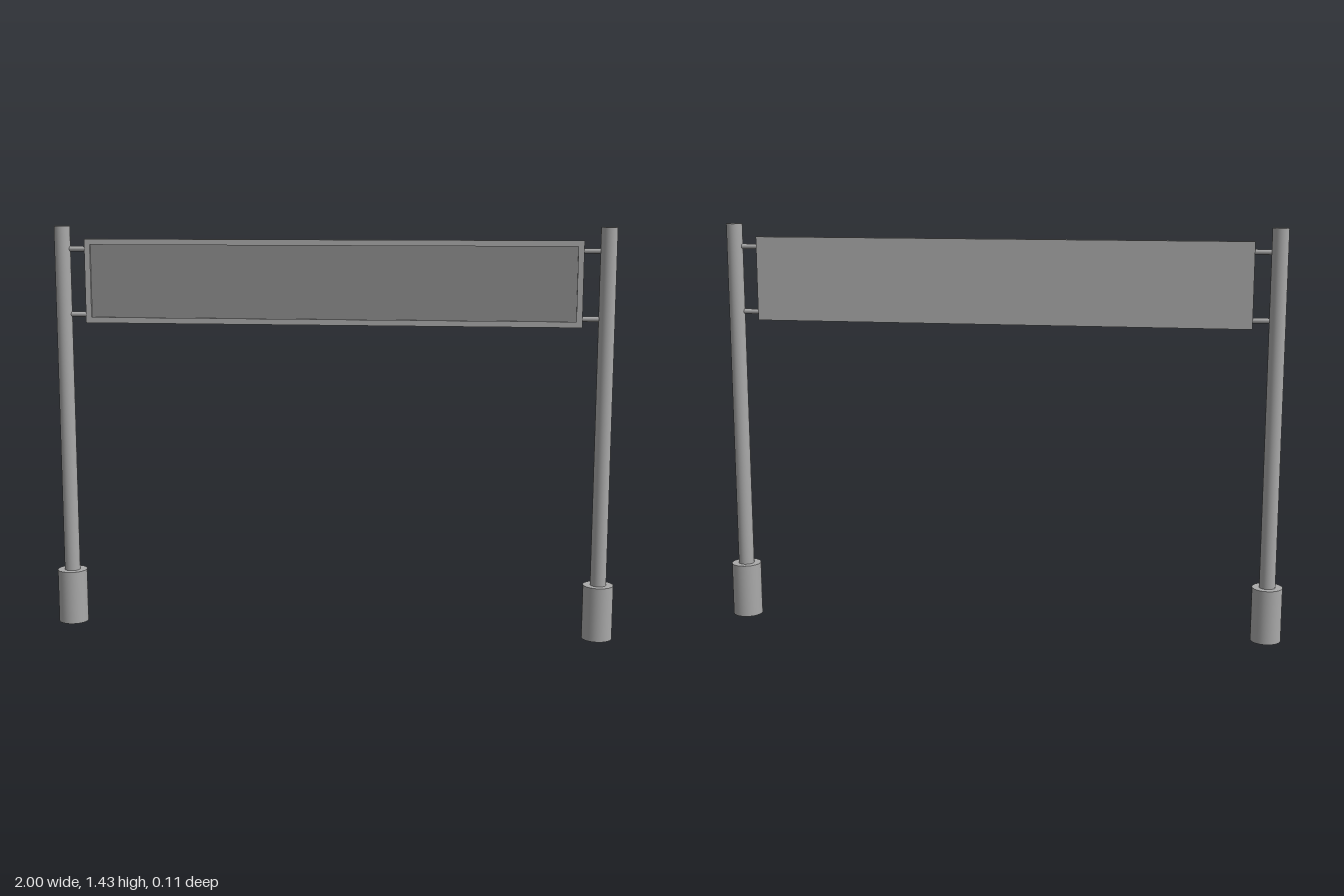
import * as THREE from 'three';

export function createModel() {
  const model = new THREE.Group();
  const metal = new THREE.MeshStandardMaterial({ color: 0xaaaaaa });
  const openMetal = new THREE.MeshStandardMaterial({ color: 0xaaaaaa, side: THREE.DoubleSide });
  const darkFace = new THREE.MeshStandardMaterial({ color: 0x8d8d8d });

  const add = (name, geometry, material, x, y, z = 0) => {
    const mesh = new THREE.Mesh(geometry, material);
    mesh.name = name;
    mesh.position.set(x, y, z);
    model.add(mesh);
  };

  const POST_X = 0.947, POST_R = 0.028, BASE_R = 0.053, BASE_H = 0.193, TOP = 1.435;
  const W = 1.73, H = 0.294, D = 0.028, CY = 1.243, RIM = 0.02, RECESS = 0.008;

  // Posts, open-bottomed footings and sign arms, mirrored left and right
  const postGeo = new THREE.CylinderGeometry(POST_R, POST_R, TOP - BASE_H, 32);
  const footingGeo = new THREE.CylinderGeometry(BASE_R, BASE_R, BASE_H, 32, 1, true);
  const ledgeGeo = new THREE.CircleGeometry(BASE_R, 32).rotateX(-Math.PI / 2);
  const armGeo = new THREE.CylinderGeometry(0.009, 0.009, POST_X - W / 2, 16).rotateZ(Math.PI / 2);
  for (const side of [1, -1]) {
    const label = side > 0 ? 'left' : 'right';
    add(label + 'Post', postGeo, metal, side * POST_X, (TOP + BASE_H) / 2);
    add(label + 'Footing', footingGeo, openMetal, side * POST_X, BASE_H / 2);
    add(label + 'FootingTop', ledgeGeo, openMetal, side * POST_X, BASE_H);
    for (const [level, y] of [['Upper', 1.355], ['Lower', 1.125]]) {
      add(label + level + 'Arm', armGeo, metal, side * (POST_X + W / 2) / 2, y);
    }
  }

  // Sign frame: flat back board with a raised rim on the front
  const FACE = 0.004, backDepth = D - RECESS - FACE, rimDepth = RECESS + FACE;
  add('signBack', new THREE.BoxGeometry(W, H, backDepth), metal, 0, CY, (backDepth - D) / 2);
  const rect = (w, h, Kind) => new Kind([
    new THREE.Vector2(-w / 2, -h / 2), new THREE.Vector2(w / 2, -h / 2),
    new THREE.Vector2(w / 2, h / 2), new THREE.Vector2(-w / 2, h / 2),
  ]);
  const rim = rect(W, H, THREE.Shape);
  rim.holes.push(rect(W - 2 * RIM, H - 2 * RIM, THREE.Path));
  const rimGeo = new THREE.ExtrudeGeometry(rim, { depth: rimDepth, bevelEnabled: false });
  add('signRim', rimGeo, metal, 0, CY, D / 2 - rimDepth);

  // Darker sign face set inside the rim
  const faceGeo = new THREE.BoxGeometry(W - 2 * RIM, H - 2 * RIM, FACE);
  add('signFace', faceGeo, darkFace, 0, CY, D / 2 - RECESS - FACE / 2);

  return model;
}
